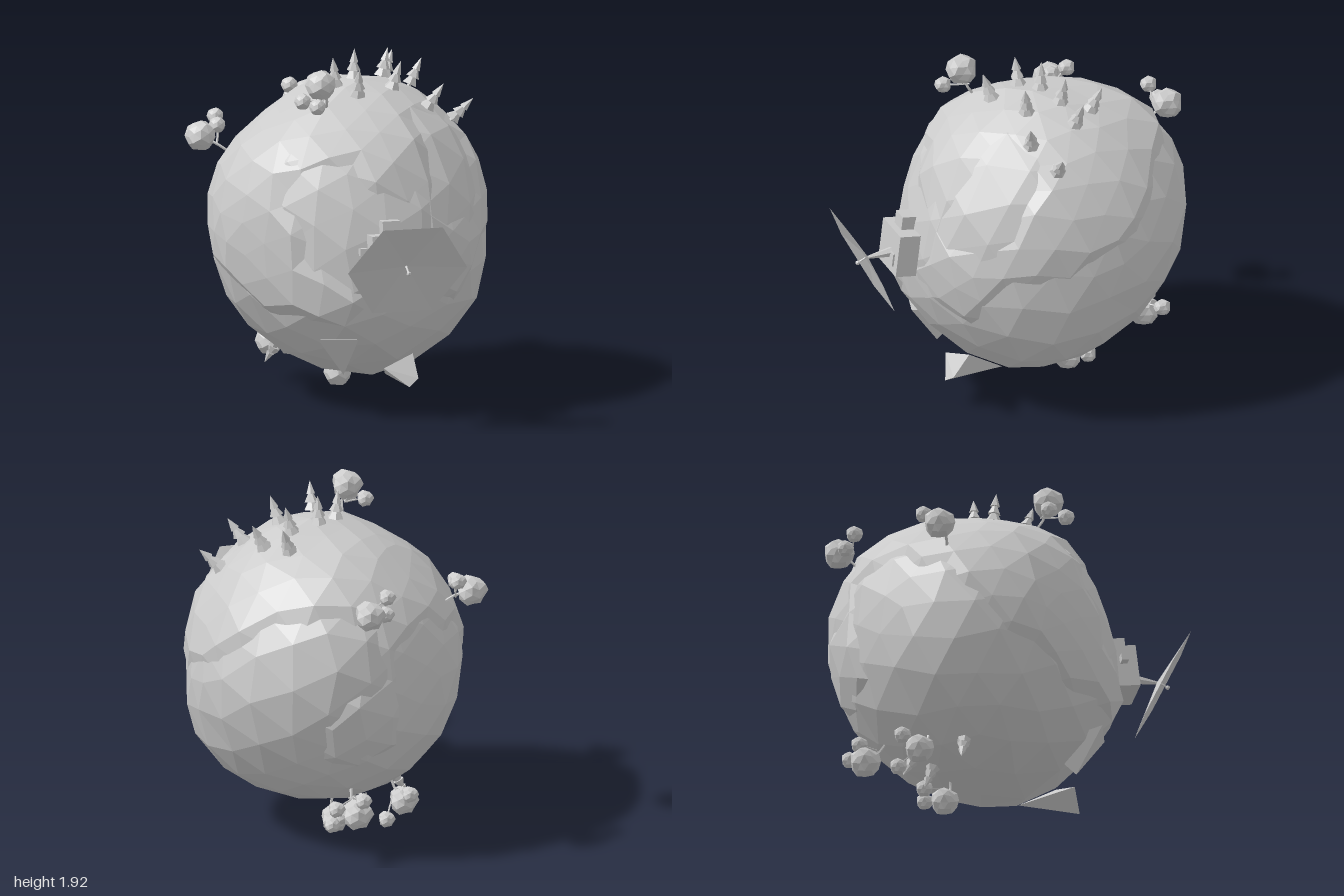
import * as THREE from 'three';
import { ConvexGeometry } from 'three/addons/geometries/ConvexGeometry.js';

const V = (x, y, z) => new THREE.Vector3(x, y, z);
const UP = V(0, 1, 0);
const CENTRE = V(0.05, 0.97, -0.15);
const mat = new THREE.MeshStandardMaterial({ color: 0xcccccc, flatShading: true });
const thin = new THREE.MeshStandardMaterial({ color: 0xcccccc, flatShading: true, side: THREE.DoubleSide });

function add(parent, name, geometry, pos = V(0, 0, 0), material = mat) {
  const mesh = new THREE.Mesh(geometry, material);
  mesh.name = name;
  mesh.position.copy(pos);
  parent.add(mesh);
  return mesh;
}

// Bulges and dents of the planet: direction, height, sharpness
const bumps = [
  [V(-0.4, 0.65, 0), -0.06, 9], [V(0.1, 0.35, 0.9), -0.05, 8], [V(-0.45, 0, 0.65), -0.06, 8],
  [V(0, 0.3, -0.85), 0.06, 6], [V(0, 0.6, -0.7), 0.04, 10], [V(-0.5, 0, -0.5), -0.07, 8],
  [V(0.7, -0.5, 0), 0.05, 10], [V(0.15, -0.8, 0.25), 0.06, 12], [V(-0.05, -0.45, 0.75), 0.06, 20],
  [V(1, 0.05, 0.1), -0.045, 8], [V(-1, -0.1, 0), -0.02, 12], [V(0.55, 0, -0.7), 0.03, 12],
].map(([d, h, k]) => [d.normalize(), h, k]);

const oceanRadius = (d) => bumps.reduce((r, [b, h, k]) => r + h * Math.exp(k * (d.dot(b) - 1)), 0.79);

// Land plates stand above the ocean with a steep, cliff-like edge
function landRadius(d) {
  const n = Math.sin(3.1 * d.x + 2.2 * d.y + 0.6) * Math.cos(2.7 * d.z - 1.6 * d.x)
    + 0.5 * Math.sin(5.3 * d.y + 3.7 * d.z) + 1.3 * d.y + 0.1;
  const step = THREE.MathUtils.clamp(n * 5, -1, 1);
  return oceanRadius(d) - 0.012 + 0.03 * step + 0.008 * Math.sin(9 * d.x + 7 * d.z);
}

const surface = (d, lift = 0) =>
  CENTRE.clone().addScaledVector(d, Math.max(oceanRadius(d), landRadius(d)) + lift);

function globe(detail, radius, wobble) {
  const g = new THREE.IcosahedronGeometry(1, detail);
  const p = g.attributes.position;
  for (let i = 0; i < p.count; i++) {
    const d = V().fromBufferAttribute(p, i).normalize();
    const { x, y, z } = d;
    d.add(V(Math.sin(11 * y + 5 * z), Math.sin(9 * z + 7 * x), Math.sin(10 * x + 6 * y)).multiplyScalar(wobble)).normalize();
    d.multiplyScalar(radius(d));
    p.setXYZ(i, d.x, d.y, d.z);
  }
  g.computeVertexNormals();
  return g;
}

// Faceted, slightly uneven leaf ball
function leafBall(r) {
  const g = new THREE.IcosahedronGeometry(r, 1);
  const p = g.attributes.position;
  for (let i = 0; i < p.count; i++) {
    const v = V().fromBufferAttribute(p, i);
    v.multiplyScalar(1 + 0.1 * Math.sin(v.x / r * 5 + v.y / r * 3 + v.z / r * 7));
    p.setXYZ(i, v.x, v.y, v.z);
  }
  g.computeVertexNormals();
  return g;
}

function branch(parent, name, a, b, r, bend = 0.015) {
  const mid = a.clone().lerp(b, 0.5).add(V(bend, 0, bend));
  add(parent, name, new THREE.TubeGeometry(new THREE.CatmullRomCurve3([a, mid, b]), 5, r, 5), undefined, thin);
}

function roundTree(parent, main, r, smalls) {
  const tree = new THREE.Group();
  tree.name = 'roundTree';
  const foot = surface(main.clone().sub(CENTRE).normalize(), -0.03);
  branch(tree, 'trunk', foot, main, 0.008);
  add(tree, 'crown', leafBall(r), main);
  for (const s of smalls) {
    branch(tree, 'branch', foot.clone().lerp(main, 0.45), s, 0.005, 0.005);
    add(tree, 'smallCrown', leafBall(0.045), s);
  }
  parent.add(tree);
}

// Pine of three stacked six-sided cones, growing straight out of the ground
function pine(parent, dir, height) {
  const tree = new THREE.Group();
  tree.name = 'pineTree';
  add(tree, 'trunk', new THREE.CylinderGeometry(0.012, 0.012, 0.07, 6), V(0, 0.01, 0));
  [[0.046, 0.08, 0.06], [0.038, 0.075, 0.1], [0.027, 0.075, 0.145]].forEach(([r, h, y], i) => {
    const tier = add(tree, 'foliage', new THREE.ConeGeometry(r, h, 6), V(0, y, 0));
    tier.rotation.y = i * 0.5;
  });
  tree.position.copy(surface(dir, -0.02));
  tree.quaternion.setFromUnitVectors(UP, dir);
  tree.scale.setScalar(height / 0.18);
  parent.add(tree);
}

function buildStation(parent) {
  const station = new THREE.Group();
  station.name = 'station';
  // Main housing with a roof block and a side knob
  const body = new THREE.Group();
  body.name = 'housing';
  body.position.set(0.29, 0.95, 0.62);
  body.rotation.set(-0.12, 0.25, 0, 'YXZ');
  add(body, 'hull', new THREE.BoxGeometry(0.26, 0.24, 0.12));
  add(body, 'roofBlock', new THREE.BoxGeometry(0.1, 0.09, 0.08), V(-0.01, 0.15, -0.02));
  add(body, 'hatch', new THREE.BoxGeometry(0.07, 0.07, 0.02), V(0.05, -0.04, 0.06));
  add(body, 'sideKnob', new THREE.BoxGeometry(0.06, 0.04, 0.04), V(-0.155, 0.03, -0.02));
  station.add(body);

  // Six-sided shallow dish on a tapered arm
  const normal = V(0.2, -0.44, 0.87).normalize();
  const side = V(0.33, 0, -0.075).normalize();
  side.addScaledVector(normal, -side.dot(normal)).normalize();
  const back = normal.clone().negate();
  const dish = new THREE.Group();
  dish.name = 'dish';
  dish.position.set(0.365, 0.92, 0.835);
  dish.quaternion.setFromRotationMatrix(new THREE.Matrix4().makeBasis(side, back, side.clone().cross(back)));
  add(dish, 'reflector', new THREE.ConeGeometry(0.335, 0.035, 6, 1, true, Math.PI / 2), V(0, 0.0175, 0), thin);
  add(dish, 'feedRod', new THREE.CylinderGeometry(0.006, 0.006, 0.06, 6), V(0, 0.005, 0));
  add(dish, 'feedTip', new THREE.IcosahedronGeometry(0.014, 0), V(0, -0.03, 0));
  station.add(dish);
  const a = V(0.32, 0.94, 0.66), b = V(0.36, 0.93, 0.81);
  const arm = add(station, 'arm', new THREE.CylinderGeometry(0.008, 0.03, a.distanceTo(b), 6), a.clone().lerp(b, 0.5));
  arm.quaternion.setFromUnitVectors(UP, b.clone().sub(a).normalize());
  parent.add(station);
}

export function createModel() {
  const model = new THREE.Group();
  model.name = 'tinyPlanet';
  add(model, 'ocean', globe(3, oceanRadius, 0.03), CENTRE);
  add(model, 'land', globe(4, landRadius, 0.03), CENTRE);

  // Rock shards jutting from the lower front
  add(model, 'rockShard', new ConvexGeometry([V(0.43, 0.2, 0.34), V(0.38, 0.16, 0.38), V(0.24, 0.26, 0.36), V(0.25, 0.16, 0.05), V(0.4, 0.32, 0.25)]));
  add(model, 'rockLedge', new ConvexGeometry([V(-0.12, 0.46, 0.53), V(0.1, 0.46, 0.53), V(0.02, 0.23, 0.38), V(0, 0.4, 0.2)]));

  // Pine grove on top, located by x and z
  for (const [x, z] of [[-0.02, -0.07], [0.08, -0.18], [0.23, -0.27], [0.25, -0.43], [0.38, -0.33],
    [0.62, -0.21], [0.49, -0.08], [0.29, -0.08], [0.1, 0.09]]) {
    const dx = (x - CENTRE.x) / 0.8, dz = (z - CENTRE.z) / 0.8;
    pine(model, V(dx, Math.sqrt(1 - dx * dx - dz * dz), dz), 0.18);
  }
  // Pines underneath
  for (const p of [V(-0.17, 0.14, -0.57), V(-0.36, 0.24, -0.22), V(-0.12, 0.14, -0.43)])
    pine(model, p.sub(CENTRE).normalize(), 0.16);

  // Round trees: crown centre, crown radius, small crowns
  roundTree(model, V(-0.1, 1.82, 0.23), 0.083, [V(-0.2, 1.73, 0.24), V(-0.12, 1.72, 0.33)]);
  roundTree(model, V(-0.75, 1.41, -0.33), 0.083, [V(-0.67, 1.5, -0.42), V(-0.66, 1.47, -0.33)]);
  roundTree(model, V(-0.16, 1.51, -0.91), 0.082, [V(-0.26, 1.58, -0.82), V(-0.25, 1.5, -0.87)]);
  roundTree(model, V(0, 0.08, -0.34), 0.075, [V(0.02, 0.09, -0.45), V(-0.04, 0.14, -0.45)]);
  roundTree(model, V(-0.1, 0.28, -0.77), 0.083, [V(0.02, 0.35, -0.86), V(-0.13, 0.37, -0.8)]);
  roundTree(model, V(-0.37, 0.23, -0.46), 0.078, [V(-0.27, 0.17, -0.58), V(-0.4, 0.3, -0.55)]);

  buildStation(model);
  return model;
}
